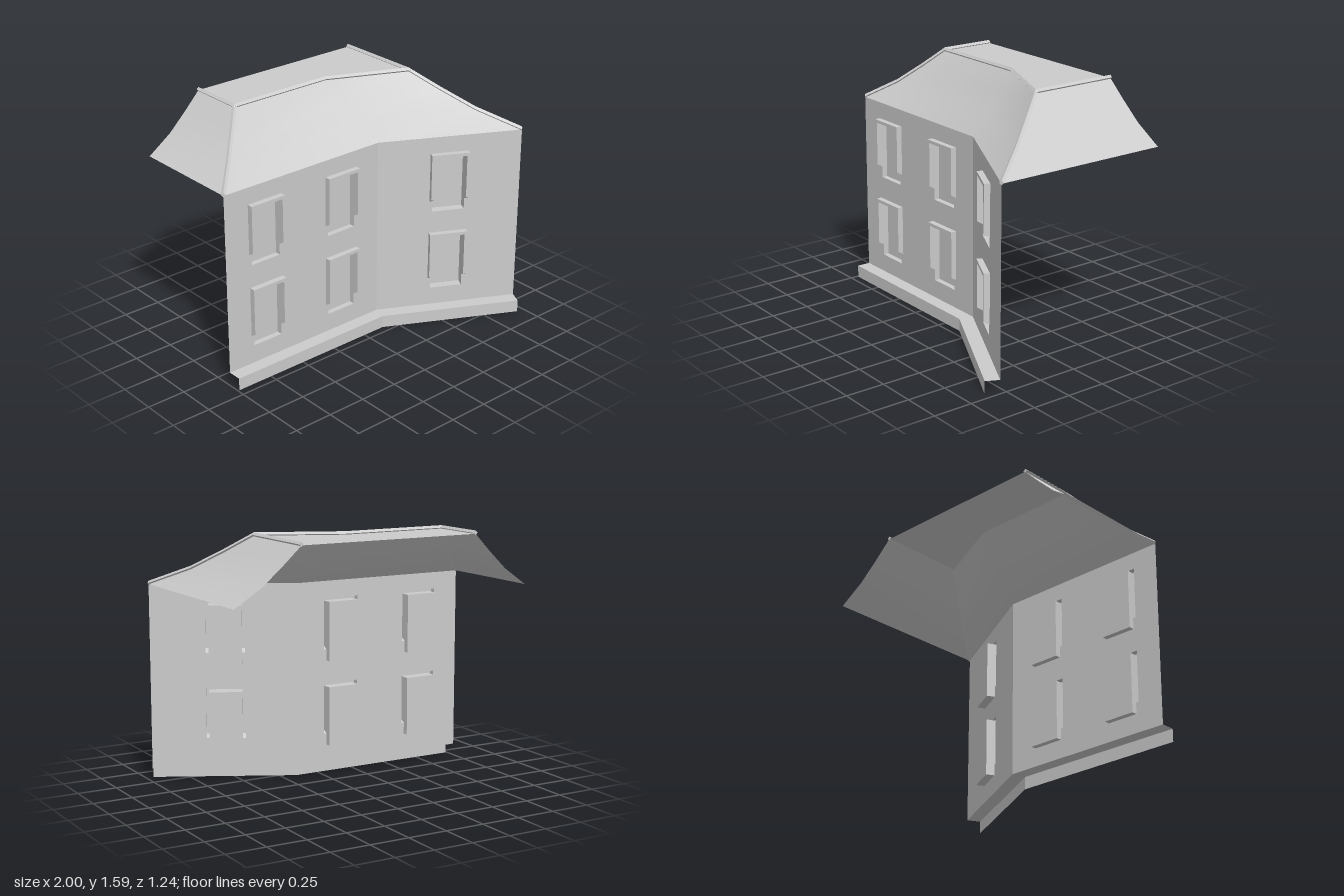
import * as THREE from 'three';
import { toCreasedNormals } from 'three/addons/utils/BufferGeometryUtils.js';

const grey = new THREE.MeshStandardMaterial({ color: 0xcccccc, side: THREE.DoubleSide });
const V = (x, y, z) => new THREE.Vector3(x, y, z);

// Surface through rows of points; loop closes every row on itself
function ribbon(rows, { loop = false, crease = 0.3 } = {}) {
  const n = rows[0].length, index = [];
  for (let i = 0; i < rows.length - 1; i++) {
    for (let j = 0; j < (loop ? n : n - 1); j++) {
      const a = i * n + j, b = i * n + (j + 1) % n;
      index.push(a, b, b + n, a, b + n, a + n);
    }
  }
  const geo = new THREE.BufferGeometry().setFromPoints(rows.flat());
  geo.setIndex(index);
  return toCreasedNormals(geo, crease);
}

function add(parent, name, geo) {
  const mesh = new THREE.Mesh(geo, grey);
  mesh.name = name;
  parent.add(mesh);
  return mesh;
}

// Open-backed tray: sides from one outline to another, closed by a flat cap
function tray(parent, name, from, to, depth) {
  const row = (pts, z) => pts.map(([x, y]) => V(x, y, z));
  add(parent, name + 'Sides', ribbon([row(from, 0), row(to, depth)], { loop: true }));
  const cap = new THREE.Shape(to.map(([x, y]) => new THREE.Vector2(x, y)));
  add(parent, name + 'Face', new THREE.ShapeGeometry(cap)).position.z = depth;
}

// Window outlines, measured from the opening's bottom centre
const W = 0.103, H = 0.375, FW = 0.122, FH = 0.395, JAMB = 0.072;
const opening = [[-W, 0], [W, 0], [W, H], [-W, H]];
const frame = b => [[-FW, b], [-W, b], [-W, H], [W, H], [W, b], [FW, b], [FW, FH], [-FW, FH]];
const wallHole = [[-W, 0], [W, 0], [W, JAMB], [FW, JAMB], [FW, FH], [-FW, FH], [-FW, JAMB], [-W, JAMB]];

const BASE = 0.08, EAVE = 1.24, TOP = 1.567;

// Flat wall between two plan points, with two storeys of windows
function wall(name, [x0, z0], [x1, z1], centres, depth) {
  const group = new THREE.Group();
  group.name = name;
  group.position.set(x0, 0, z0);
  group.rotation.y = -Math.atan2(z1 - z0, x1 - x0);
  const len = Math.hypot(x1 - x0, z1 - z0);
  const shape = new THREE.Shape([[0, BASE], [len, BASE], [len, EAVE], [0, EAVE]]
    .map(p => new THREE.Vector2(...p)));
  for (const x of centres) {
    for (const y of [0.197, 0.738]) {
      shape.holes.push(new THREE.Path(wallHole.map(p => new THREE.Vector2(x + p[0], y + p[1]))));
      const win = new THREE.Group();
      win.name = 'window';
      win.position.set(x, y, 0);
      tray(win, 'recess', opening, opening, -depth);
      tray(win, 'frame', frame(JAMB), frame(JAMB + 0.022), 0.037);
      group.add(win);
    }
  }
  add(group, 'wallSurface', new THREE.ShapeGeometry(shape));
  return group;
}

// Diamond-section moulding swept along a path
function moulding(points, r = 0.014) {
  const lift = 0.006, up = V(0, 1, 0);
  const rows = points.map((p, i) => {
    const c = p.clone().add(V(0, lift, 0));
    const dir = (a, b) => b.clone().sub(a).setY(0).normalize();
    const before = dir(points[Math.max(i - 1, 0)], points[Math.max(i, 1)]);
    const last = points.length - 1;
    const after = dir(points[Math.min(i, last - 1)], points[Math.min(i + 1, last)]);
    const side = before.clone().add(after).normalize().cross(up);
    side.multiplyScalar(1 / Math.sqrt((1 + before.dot(after)) / 2));
    return [[0, 1], [1, 0], [0, -1], [-1, 0]].map(([s, u]) =>
      c.clone().addScaledVector(side, s * r).addScaledVector(up, u * r));
  });
  const tip = row => {
    const mid = row[0].clone().add(row[2]).multiplyScalar(0.5);
    return row.map(() => mid.clone());
  };
  return ribbon([tip(rows[0]), ...rows, tip(rows[rows.length - 1])], { loop: true });
}

export function createModel() {
  const model = new THREE.Group();
  model.name = 'houseFacade';

  // Walls
  const left = [-0.99, 0.112], bend = [0.175, 0.112], right = [0.99, 0.537];
  model.add(wall('mainWall', left, bend, [0.29, 0.87], 0.036));
  model.add(wall('angledWall', bend, right, [0.457], 0.055));

  // Plinth ledge
  const inner = [left, bend, right], outer = [[-0.99, 0.2], [0.152, 0.2], [0.95, 0.617]];
  const line = (pts, y) => pts.map(([x, z]) => V(x, y, z));
  add(model, 'plinth', ribbon([line(outer, 0), line(outer, BASE), line(inner, BASE)]));

  // Flared roof from the eaves up to the flat top
  const eaves = [[-0.99, -0.62], left, bend, right, [0.99, -0.62]];
  const crown = [[-0.617, -0.62], [-0.617, -0.262], [0.073, -0.262], [0.565, -0.043], [0.565, -0.62]];
  const profile = [[0, 0], [0.41, 0.33], [0.72, 0.67], [1, 1]];
  const rows = profile.map(([t, h]) => eaves.map(([x, z], i) => V(
    THREE.MathUtils.lerp(x, crown[i][0], t),
    THREE.MathUtils.lerp(EAVE, TOP, h),
    THREE.MathUtils.lerp(z, crown[i][1], t))));
  add(model, 'roofSlopes', ribbon(rows, { crease: 0.7 }));

  const flat = new THREE.ShapeGeometry(new THREE.Shape(crown.map(([x, z]) => new THREE.Vector2(x, -z))));
  flat.rotateX(-Math.PI / 2);
  add(model, 'roofTop', flat).position.y = TOP;

  // Mouldings on the hips and around the flat top
  add(model, 'leftHip', moulding(rows.map(r => r[1])));
  add(model, 'rightHip', moulding(rows.map(r => r[3])));
  add(model, 'crownMoulding', moulding(rows[3]));

  return model;
}
